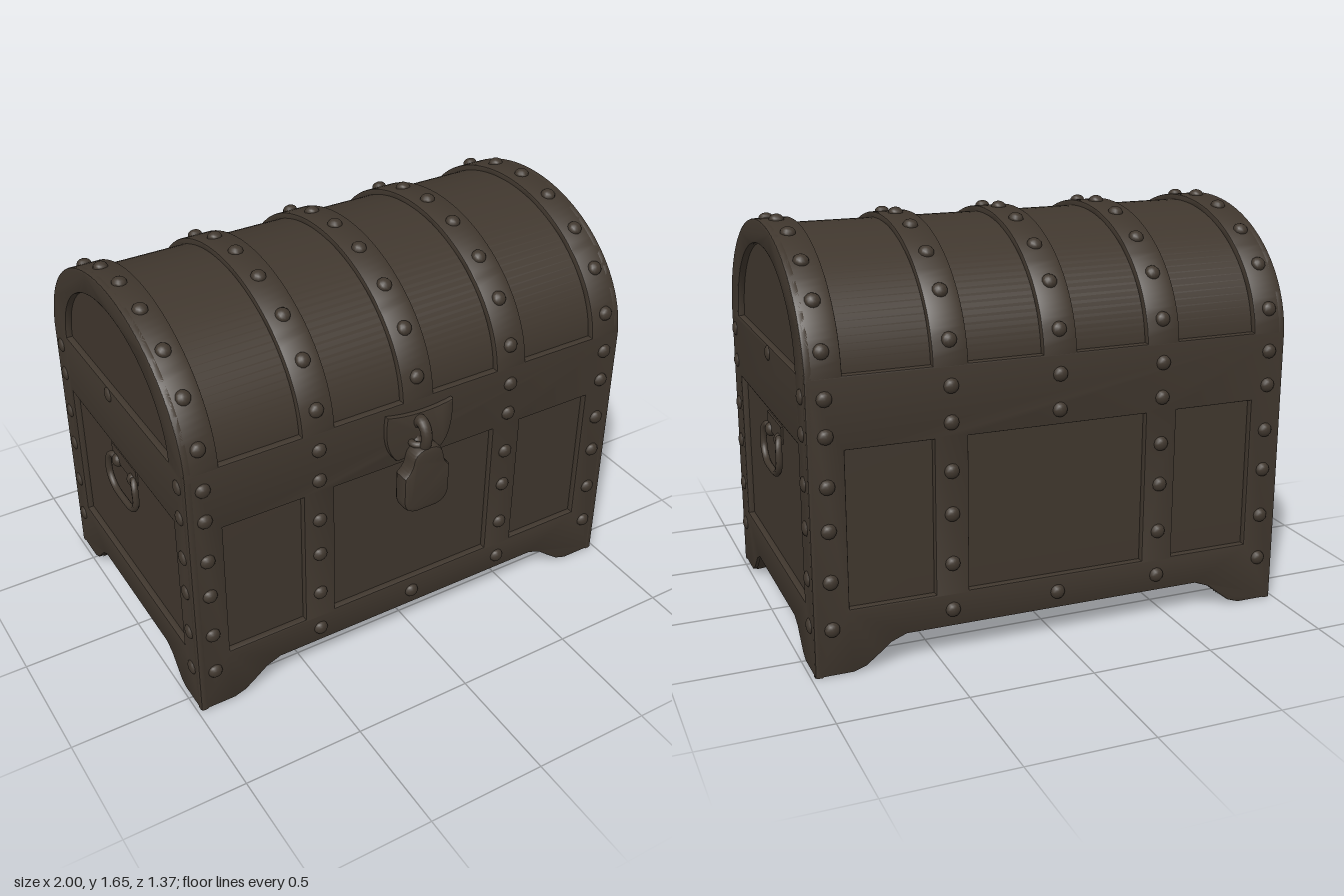
import * as THREE from 'three';
import { toCreasedNormals } from 'three/addons/utils/BufferGeometryUtils.js';

const HX = 0.985, HZ = 0.625, CZ = -0.035; // half length, half depth, depth centre
const RECESS = 0.027, SPRING = 1.13, RISE = 0.495;

export function createModel() {
  const wood = new THREE.MeshStandardMaterial({ color: 0x40372e });
  wood.name = 'darkBrown';
  const model = new THREE.Group();
  model.name = 'treasureChest';

  const add = (name, geo, parent = model) => {
    const mesh = new THREE.Mesh(geo, wood);
    mesh.name = name;
    parent.add(mesh);
    return mesh;
  };
  const group = (name) => {
    const g = new THREE.Group();
    g.name = name;
    model.add(g);
    return g;
  };
  const extrude = (shape, depth, bevel = 0.008) => toCreasedNormals(new THREE.ExtrudeGeometry(shape, {
    depth: depth - 2 * bevel, curveSegments: 28, bevelEnabled: bevel > 0, bevelSegments: 2,
    bevelSize: bevel, bevelThickness: bevel, bevelOffset: -bevel,
  }).translate(0, 0, bevel), 0.6);
  // Extrude along x instead of z, starting at x0
  const extrudeX = (shape, x0, depth, bevel) =>
    extrude(shape, depth, bevel).rotateY(Math.PI / 2).translate(x0, 0, CZ);

  // Height of the curved foot at distance d from a corner
  const footY = (d, end) => 0.12 * THREE.MathUtils.smoothstep(d, 0.15, end);
  // Outline bottom edge with two feet, left to right
  const feet = (shape, h, end) => {
    shape.moveTo(-h, 0);
    const steps = [0.15, 0.2, 0.25, 0.3, 0.36].map((d) => 0.15 + (d - 0.15) * (end - 0.15) / 0.21);
    steps.forEach((d) => shape.lineTo(-h + d, footY(d, end)));
    [...steps].reverse().forEach((d) => shape.lineTo(h - d, footY(d, end)));
    shape.lineTo(h, 0);
  };
  const rectHole = (x0, x1, y0, y1) => {
    const p = new THREE.Path();
    p.moveTo(x0, y0); p.lineTo(x0, y1); p.lineTo(x1, y1); p.lineTo(x1, y0); p.closePath();
    return p;
  };

  // Recessed core: walls and barrel lid in one arch
  const a = HZ - RECESS, b = RISE - 0.022;
  const arch = new THREE.Shape();
  arch.moveTo(-a, 0.16);
  arch.lineTo(a, 0.16);
  arch.lineTo(a, SPRING);
  arch.absellipse(0, SPRING, a, b, 0, Math.PI, false);
  arch.closePath();
  add('panelCore', extrudeX(arch, -HX + RECESS, 2 * (HX - RECESS), 0));

  // Front and back frames, three panels each
  const frame = new THREE.Shape();
  feet(frame, HX, 0.36);
  frame.lineTo(HX, 1.16);
  frame.lineTo(-HX, 1.16);
  frame.closePath();
  [[-0.845, -0.505], [-0.37, 0.37], [0.505, 0.845]].forEach(([l, r]) =>
    frame.holes.push(rectHole(l, r, 0.26, 0.88)));
  add('frontFrame', extrude(frame, 0.035).translate(0, 0, CZ + HZ - 0.035));
  add('backFrame', extrude(frame, 0.035).rotateY(Math.PI).translate(0, 0, CZ - HZ + 0.035));

  // Arched end frames with a lower panel and a half-round upper panel
  const end = new THREE.Shape();
  feet(end, HZ, 0.31);
  end.lineTo(HZ, SPRING);
  end.absellipse(0, SPRING, HZ, RISE, 0, Math.PI, false);
  end.closePath();
  end.holes.push(rectHole(-0.497, 0.497, 0.26, 0.88));
  const lunette = new THREE.Path();
  lunette.moveTo(0.49, 1.15);
  lunette.absellipse(0, 1.15, 0.49, 0.38, 0, Math.PI, false);
  lunette.closePath();
  end.holes.push(lunette);
  add('leftEndFrame', extrudeX(end, HX - 0.035, 0.035));
  add('rightEndFrame', extrudeX(end, -HX, 0.035));

  // Straps over the lid
  const strap = new THREE.Shape();
  strap.moveTo(HZ, SPRING);
  strap.absellipse(0, SPRING, HZ, RISE, 0, Math.PI, false);
  strap.lineTo(-a + 0.01, SPRING);
  strap.absellipse(0, SPRING, a - 0.01, b - 0.01, Math.PI, 0, true);
  strap.closePath();
  const straps = group('lidStraps');
  const columns = [-0.915, -0.438, 0, 0.438, 0.915];
  columns.forEach((x) => add('lidStrap', extrudeX(strap, x - 0.069, 0.138, 0.006), straps));

  // Rivets: domes flattened along their outward direction
  const rivets = group('rivets');
  const dome = new THREE.SphereGeometry(0.03, 12, 8);
  const up = new THREE.Vector3(0, 1, 0);
  const rivet = (x, y, z, nx, ny, nz, height = 0.75) => {
    const m = add('rivet', dome, rivets);
    m.position.set(x, y, z);
    m.quaternion.setFromUnitVectors(up, new THREE.Vector3(nx, ny, nz).normalize());
    m.scale.y = height;
  };
  const rows = [1.08, 0.94, 0.75, 0.58, 0.38, 0.19];
  columns.forEach((x) => {
    [14, 35, 54, 73, 90, 107, 126, 145, 166].forEach((deg) => {
      const t = THREE.MathUtils.degToRad(deg), c = Math.cos(t), s = Math.sin(t);
      rivet(x, SPRING + RISE * s, CZ + HZ * c, 0, s / RISE, c / HZ);
    });
    [1, -1].forEach((s) => rows.forEach((y) => {
      if (x === 0 && y !== 0.19 && (s > 0 || y < 0.9)) return;
      rivet(x, y, CZ + s * HZ, 0, 0, s);
    }));
  });
  [1, -1].forEach((s) => {
    [-0.56, 0.56].forEach((z) => rows.forEach((y) => rivet(s * HX, y, CZ + z, s, 0, 0, 0.45)));
    rivet(s * HX, 1.12, CZ - 0.06, s, 0, 0, 0.4);
  });

  // Sagging, lumpy underside that blends into the four feet
  const bottom = new THREE.PlaneGeometry(1.95, 1.23, 80, 56).rotateX(Math.PI / 2).translate(0, 0, CZ);
  const pos = bottom.attributes.position;
  for (let i = 0; i < pos.count; i++) {
    const x = pos.getX(i), z = pos.getZ(i);
    const dx = 0.975 - Math.abs(x), dz = 0.615 - Math.abs(z - CZ);
    const r2 = ((x - 0.06) / 0.62) ** 2 + ((z + 0.06) / 0.38) ** 2;
    const rough = Math.min(1, r2) * Math.min(1, dx * 8, dz * 8);
    const lumps = Math.sin(x * 37 + Math.sin(z * 29) * 2) * Math.sin(z * 43 + Math.sin(x * 23) * 2);
    pos.setY(i, Math.max(footY(dx, 0.36), footY(dz, 0.31))
      - 0.11 * Math.max(0, 1 - r2) + rough * (0.012 + 0.012 * lumps) + 0.003);
  }
  bottom.computeVertexNormals();
  add('underside', bottom);

  // Padlock hanging from a hasp plate
  const lock = group('padlock');
  const plate = new THREE.Shape();
  plate.moveTo(-0.15, 1.13);
  plate.quadraticCurveTo(0, 1.09, 0.15, 1.12);
  plate.quadraticCurveTo(0.16, 0.96, 0.1, 0.91);
  plate.lineTo(-0.1, 0.91);
  plate.quadraticCurveTo(-0.17, 0.98, -0.15, 1.13);
  add('haspPlate', extrude(plate, 0.03).translate(0, 0, 0.58), lock);
  const body = new THREE.Shape();
  body.moveTo(-0.05, 0.69);
  body.lineTo(0.04, 0.69);
  body.quadraticCurveTo(0.1, 0.7, 0.1, 0.76);
  body.lineTo(0.1, 0.87);
  body.quadraticCurveTo(0.075, 0.89, 0.07, 0.93);
  body.quadraticCurveTo(0.06, 0.985, 0.005, 0.985);
  body.quadraticCurveTo(-0.065, 0.985, -0.072, 0.93);
  body.quadraticCurveTo(-0.08, 0.89, -0.11, 0.87);
  body.lineTo(-0.11, 0.76);
  body.quadraticCurveTo(-0.11, 0.7, -0.05, 0.69);
  add('lockBody', extrude(body, 0.075, 0.016).translate(0, 0, 0.607), lock);
  const shackle = add('shackle', new THREE.TorusGeometry(0.042, 0.02, 10, 28).rotateY(Math.PI / 2), lock);
  shackle.position.set(-0.008, 1.02, 0.627);
  shackle.scale.set(1.2, 1.4, 0.95);
  const staple = add('staple', new THREE.TorusGeometry(0.035, 0.014, 8, 24).rotateX(Math.PI / 2), lock);
  staple.position.set(-0.008, 0.985, 0.615);

  // Drop handles on both ends
  const grip = new THREE.CatmullRomCurve3([
    [0.962, 0.775, 0.08], [0.972, 0.79, 0.105], [0.98, 0.765, 0.13], [0.982, 0.69, 0.132],
    [0.982, 0.645, 0.09], [0.982, 0.635, 0], [0.982, 0.645, -0.09], [0.982, 0.69, -0.132],
    [0.98, 0.765, -0.13], [0.972, 0.79, -0.105], [0.962, 0.775, -0.08],
  ].map((p) => new THREE.Vector3(...p)));
  [0, Math.PI].forEach((turn) => {
    const handle = group(turn ? 'rightHandle' : 'leftHandle');
    handle.position.z = -0.055;
    handle.rotation.y = turn;
    add('grip', new THREE.TubeGeometry(grip, 60, 0.014, 8), handle);
    add('mount', new THREE.BoxGeometry(0.012, 0.07, 0.24).translate(0.96, 0.805, 0), handle);
    [-1, 1].forEach((s) => {
      const knob = add('knob', new THREE.SphereGeometry(0.028, 14, 10), handle);
      knob.position.set(0.964, 0.775, s * 0.075);
      knob.scale.x = 0.8;
    });
  });

  return model;
}
